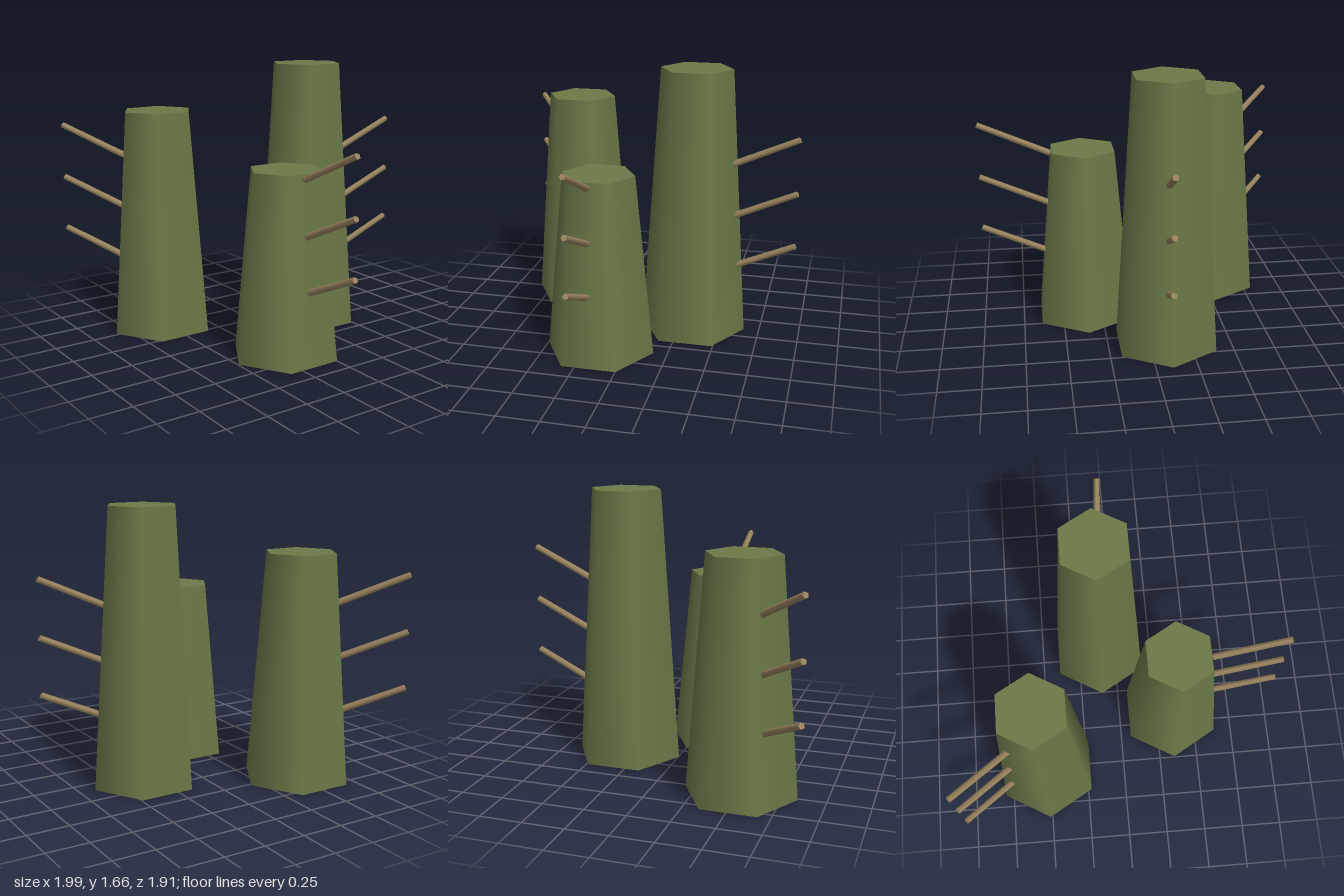
import * as THREE from 'three';

export function createModel() {
  const group = new THREE.Group();
  const green = new THREE.MeshStandardMaterial({ color: 0x6b7a48 });
  green.name = 'olive green';
  const tan = new THREE.MeshStandardMaterial({ color: 0x9c8660 });
  tan.name = 'spine tan';

  // Each column: base position, height, and horizontal inner and outer ends of its spines
  const columns = [
    { name: 'backColumn', x: -0.105, z: -0.325, h: 1.665, from: [-0.085, -0.53], to: [-0.05, -0.955] },
    { name: 'rightColumn', x: -0.515, z: 0.51, h: 1.385, from: [-0.665, 0.64], to: [-0.985, 0.935] },
    { name: 'leftColumn', x: 0.35, z: 0.165, h: 1.11, from: [0.55, 0.175], to: [0.987, 0.175] },
  ];
  const up = new THREE.Vector3(0, 1, 0);

  for (const c of columns) {
    const part = new THREE.Group();
    part.name = c.name;
    group.add(part);

    // Tapered six-sided trunk
    const trunk = new THREE.Mesh(new THREE.CylinderGeometry(0.22, 0.33, c.h, 6), green);
    trunk.name = 'trunk';
    trunk.position.set(c.x, c.h / 2, c.z);
    part.add(trunk);

    // Three stacked spines slanting up and outward
    for (let i = 0; i < 3; i++) {
      const tipY = 0.61 + i * 0.332;
      const a = new THREE.Vector3(c.from[0], tipY - 0.193, c.from[1]);
      const b = new THREE.Vector3(c.to[0], tipY, c.to[1]);
      const dir = b.clone().sub(a);
      const spine = new THREE.Mesh(new THREE.CylinderGeometry(0.019, 0.021, dir.length(), 5), tan);
      spine.name = 'spine';
      spine.position.copy(a).add(b).multiplyScalar(0.5);
      spine.quaternion.setFromUnitVectors(up, dir.normalize());
      part.add(spine);
    }
  }
  return group;
}
